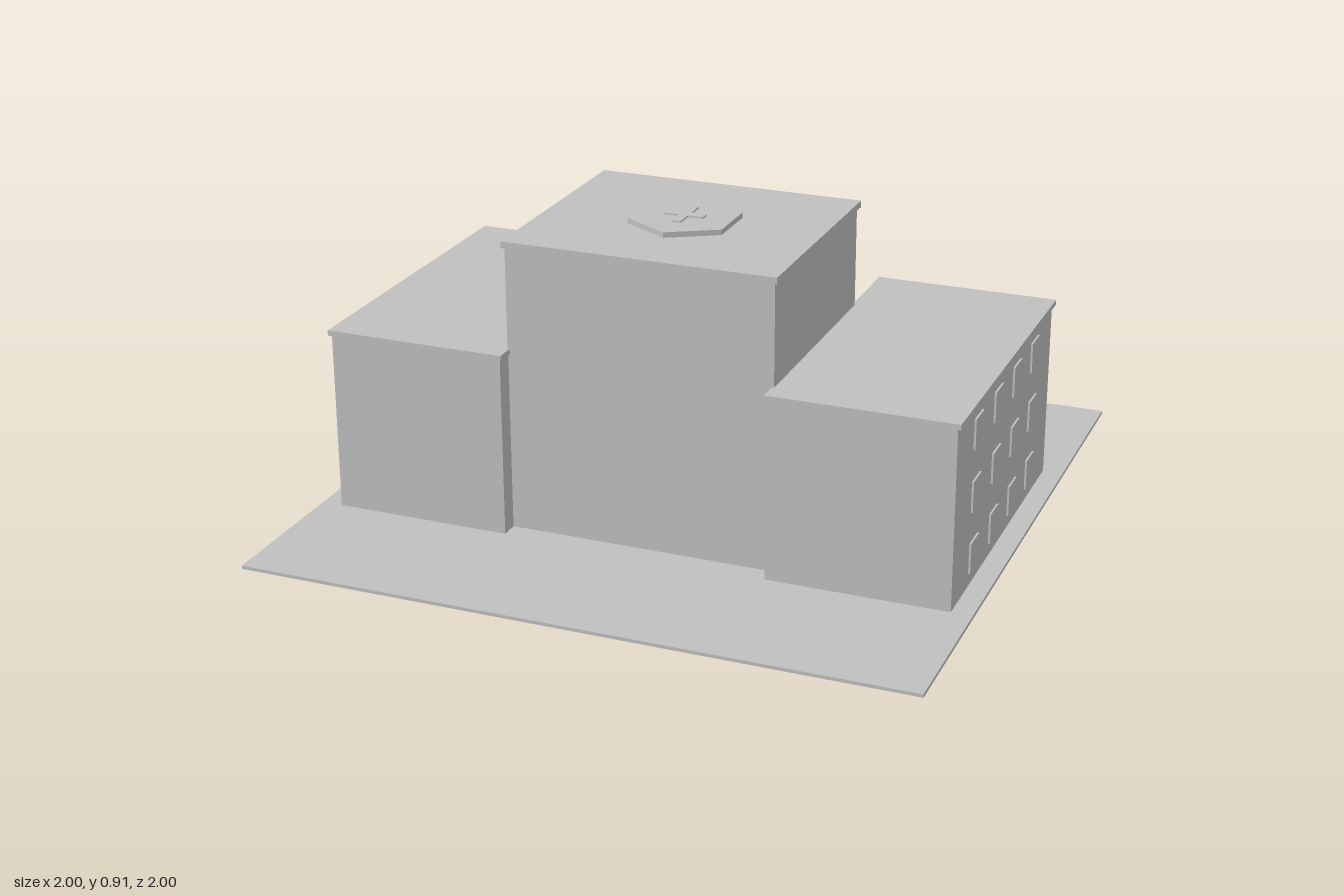
import * as THREE from 'three';

export function createModel() {
  const model = new THREE.Group();
  const concrete = new THREE.MeshStandardMaterial({ color: 0xbfbfbf });
  concrete.name = 'plain grey';

  const add = (name, geometry, parent = model) => {
    const mesh = new THREE.Mesh(geometry, concrete);
    mesh.name = name;
    parent.add(mesh);
    return mesh;
  };
  // Box given by its limits on each axis
  const block = (name, x0, x1, y0, y1, z0, z1, parent) => {
    const mesh = add(name, new THREE.BoxGeometry(x1 - x0, y1 - y0, z1 - z0), parent);
    mesh.position.set((x0 + x1) / 2, (y0 + y1) / 2, (z0 + z1) / 2);
    return mesh;
  };

  const rows = [0.095, 0.282, 0.467];
  const halfW = 0.04, halfH = 0.046, proud = 0.006;

  // Windows on a wall facing -z
  const rearWindows = (columns, wallZ, parent, skip = () => false) => {
    for (const y of rows) for (const x of columns) {
      if (skip(x, y)) continue;
      block('rearWindow', x - halfW, x + halfW, y - halfH, y + halfH, wallZ - proud, wallZ, parent);
    }
  };

  // Ground slab
  block('ground', -1, 1, 0, 0.01, -1, 1);

  // Central tower with roof slab
  block('tower', -0.402, 0.402, 0.01, 0.87, -0.215, 0.485);
  block('towerRoof', -0.41, 0.41, 0.868, 0.888, -0.228, 0.493);
  rearWindows([-0.32, -0.16, 0, 0.16, 0.32], -0.215, model,
    (x, y) => y === rows[0] && Math.abs(x) < 0.2);
  block('entranceDoor', -0.12, 0.12, 0.01, 0.17, -0.221, -0.215);

  // Panel with a raised cross high on the rear wall
  block('wallPanel', -0.135, 0.135, 0.575, 0.845, -0.222, -0.215);
  block('wallCrossUpright', -0.03, 0.03, 0.61, 0.81, -0.227, -0.222);
  block('wallCrossBar', -0.1, 0.1, 0.68, 0.74, -0.227, -0.222);

  // Side wings
  for (const s of [-1, 1]) {
    const wing = new THREE.Group();
    wing.name = s > 0 ? 'leftWing' : 'rightWing';
    model.add(wing);
    const span = (name, a, b, ...rest) =>
      block(name, Math.min(s * a, s * b), Math.max(s * a, s * b), ...rest, wing);
    span('wingBody', 0.4, 0.938, 0.01, 0.552, -0.47, 0.54);
    span('wingRoof', 0.395, 0.948, 0.55, 0.566, -0.478, 0.546);
    for (const y of rows) for (const z of [-0.27, -0.07, 0.13, 0.335])
      span('sideWindow', 0.938, 0.938 + proud, y - halfH, y + halfH, z - halfW, z + halfW);
    rearWindows([0.51, 0.67, 0.83].map((x) => s * x), -0.47, wing);
  }
  // Wide service door on the left wing
  block('serviceDoor', 0.585, 0.755, 0.01, 0.12, -0.478, -0.47);

  // Entrance canopy on two posts
  block('canopy', -0.286, 0.286, 0.28, 0.3, -0.523, -0.21);
  for (const s of [-1, 1]) {
    const post = add('canopyPost', new THREE.CylinderGeometry(0.011, 0.011, 0.275, 12));
    post.position.set(s * 0.25, 0.145, -0.485);
  }

  // Six-sided roof landing pad with cross marking
  const pad = add('landingPad', new THREE.CylinderGeometry(0.166, 0.166, 0.016, 6).toNonIndexed());
  pad.geometry.computeVertexNormals();
  pad.position.set(0, 0.896, 0.132);
  block('padCrossLong', -0.014, 0.014, 0.903, 0.909, 0.062, 0.202);
  block('padCrossWide', -0.06, 0.06, 0.903, 0.909, 0.118, 0.146);

  return model;
}
